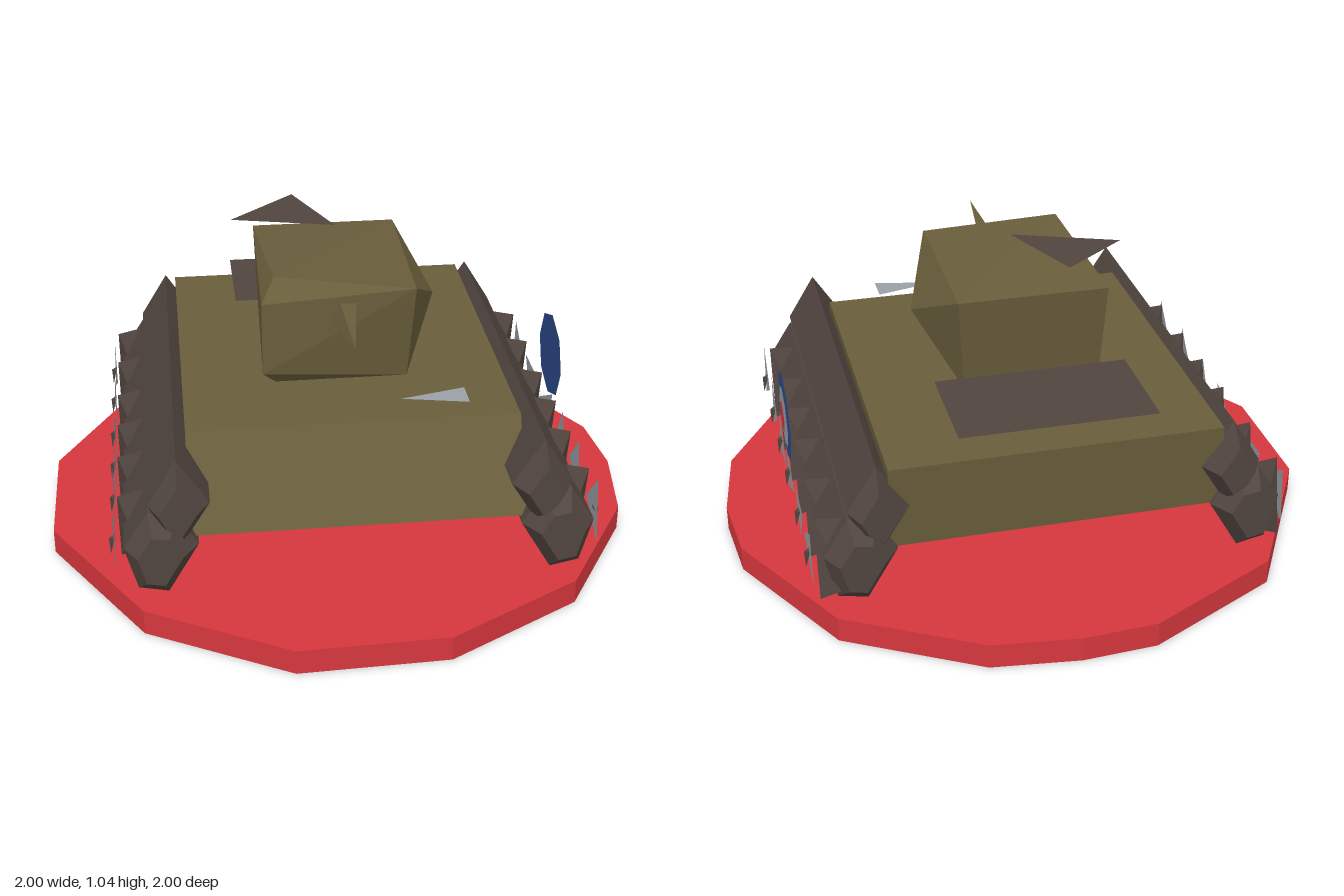
import * as THREE from 'three';
import { ConvexGeometry } from 'three/addons/geometries/ConvexGeometry.js';

const V = (p) => new THREE.Vector3(...p);

// Flat polygon visible from both sides
function plateGeometry(points) {
  const tris = [];
  for (let i = 1; i < points.length - 1; i++) {
    const [a, b, c] = [points[0], points[i], points[i + 1]].map(V);
    tris.push(a, b, c, a, c, b);
  }
  const g = new THREE.BufferGeometry().setFromPoints(tris);
  g.computeVertexNormals();
  return g;
}

export function createModel() {
  const material = (name, color) => {
    const m = new THREE.MeshStandardMaterial({ color });
    m.name = name;
    return m;
  };
  const red = material('red', 0xd6373d);
  const olive = material('olive', 0x695e3c);
  const brown = material('trackBrown', 0x51453f);
  const grey = material('grey', 0x9aa0a6);
  const blue = material('blue', 0x2c4b8c);

  const model = new THREE.Group();
  model.name = 'tankOnBase';
  const add = (name, geometry, mat, parent = model) => {
    const mesh = new THREE.Mesh(geometry, mat);
    mesh.name = name;
    parent.add(mesh);
    return mesh;
  };
  const solid = (name, points, mat, parent) => add(name, new ConvexGeometry(points.map(V)), mat, parent);
  const plate = (name, points, mat, parent) => add(name, plateGeometry(points), mat, parent);

  // Faceted round base, outline as [x, z]
  const outline = [[-0.25, -0.985], [0, -1], [0.29, -0.965], [0.72, -0.72], [0.975, -0.26], [1, 0],
    [0.955, 0.31], [0.7, 0.73], [0.25, 0.985], [-0.24, 1], [-0.7, 0.74], [-1, 0.24], [-1, -0.23], [-0.71, -0.75]];
  solid('base', outline.flatMap(([x, z]) => [[x, 0, z], [x, 0.085, z]]), red);

  // Hull: side profile [z, y] stretched across x
  const profile = [[-0.7, 0.59], [0.5, 0.59], [0.67, 0.31], [-0.68, 0.3]];
  solid('hull', profile.flatMap(([z, y]) => [[-0.54, y, z], [0.54, y, z]]), olive);

  // Turret with a pointed left cheek
  solid('turret', [
    [0.23, 0.94, 0.265], [-0.23, 0.98, 0.21], [-0.275, 0.91, 0.27], [-0.26, 0.94, -0.33], [0.235, 0.94, -0.33],
    [0.335, 0.79, -0.03], [-0.275, 0.66, 0.27], [-0.23, 0.605, 0.22], [0.21, 0.605, 0.22],
    [0.21, 0.605, -0.28], [-0.25, 0.605, -0.28],
  ], olive);
  solid('barrel', [[-0.02, 0.9, 0.25], [0.035, 0.9, 0.25], [-0.055, 0.83, 0.25], [-0.01, 0.9, 0.59]], olive);

  // Loose flat panels on top
  plate('hatch', [[-0.345, 1.03, -0.17], [0, 1.04, -0.06], [-0.12, 1.04, -0.36]], brown);
  plate('engineDeck', [[-0.33, 0.66, -0.31], [0.315, 0.66, -0.31], [0.315, 0.66, -0.68], [-0.33, 0.66, -0.68]], brown);
  plate('frontPanel', [[0.155, 0.645, 0.46], [0.37, 0.645, 0.505], [0.37, 0.645, 0.405]], grey);

  // Track cross-sections [x, y] for the +x side
  const upper = [[0.575, 0.605], [0.67, 0.45], [0.63, 0.37], [0.555, 0.32], [0.475, 0.45]];
  const lower = [[0.515, 0.3], [0.58, 0.41], [0.67, 0.425], [0.75, 0.3], [0.71, 0.15], [0.615, 0.13]];
  // Long prism with ends tapered towards the section centre
  const prism = (section, side) => {
    const cx = section.reduce((s, p) => s + p[0], 0) / section.length;
    const cy = section.reduce((s, p) => s + p[1], 0) / section.length;
    return [[-0.755, 0.6], [-0.69, 1], [0.7, 1], [0.765, 0.6]].flatMap(([z, k]) =>
      section.map(([x, y]) => [side * (cx + (x - cx) * k), cy + (y - cy) * k, z]));
  };

  // Wheel triangles as [z, y] corners
  const wheels = [
    [[0.61, 0.39], [0.65, 0.17], [0.49, 0.26]],
    [[0.36, 0.39], [0.4, 0.17], [0.25, 0.27]],
    [[0.13, 0.38], [0.2, 0.19], [0.03, 0.2]],
    [[-0.03, 0.36], [-0.04, 0.17], [-0.22, 0.25]],
    [[-0.26, 0.31], [-0.45, 0.31], [-0.35, 0.16]],
    [[-0.64, 0.36], [-0.47, 0.26], [-0.66, 0.17]],
  ];

  for (const side of [1, -1]) {
    const track = new THREE.Group();
    track.name = side > 0 ? 'leftTrack' : 'rightTrack';
    model.add(track);
    solid('upperTrack', prism(upper, side), brown, track);
    solid('lowerTrack', prism(lower, side), brown, track);
    wheels.forEach((corners, i) => {
      const z = corners.reduce((s, c) => s + c[0], 0) / 3;
      plate(`wheel${i + 1}`, corners.map(([cz, y]) => [side * 0.782, y, cz]), grey, track);
      // Small hub sliver in the middle of the wheel
      solid(`hub${i + 1}`, [[0.78, 0.27, z - 0.015], [0.78, 0.27, z + 0.015], [0.798, 0.265, z], [0.795, 0.205, z]]
        .map(([x, y, pz]) => [side * x, y, pz]), brown, track);
      // Jagged suspension bracket behind the wheel
      const b = z - 0.06;
      solid(`bracket${i + 1}`, [[0.66, 0.41, b], [0.765, 0.4, b + 0.03], [0.765, 0.14, b - 0.03],
        [0.68, 0.2, b - 0.08], [0.7, 0.22, b + 0.08]].map(([x, y, pz]) => [side * x, y, pz]), brown, track);
    });
  }

  // Roundel on the left side, stacked thin plates
  const ring = (name, x, radius, sides, mat) => plate(name, Array.from({ length: sides }, (_, i) => {
    const a = (i / sides) * Math.PI * 2;
    return [x, 0.485 + Math.cos(a) * radius * 0.94, -0.107 - Math.sin(a) * radius];
  }), mat);
  ring('roundelOuter', 0.785, 0.163, 8, blue);
  ring('roundelMiddle', 0.789, 0.112, 8, grey);
  ring('roundelCentre', 0.793, 0.062, 5, red);

  return model;
}
